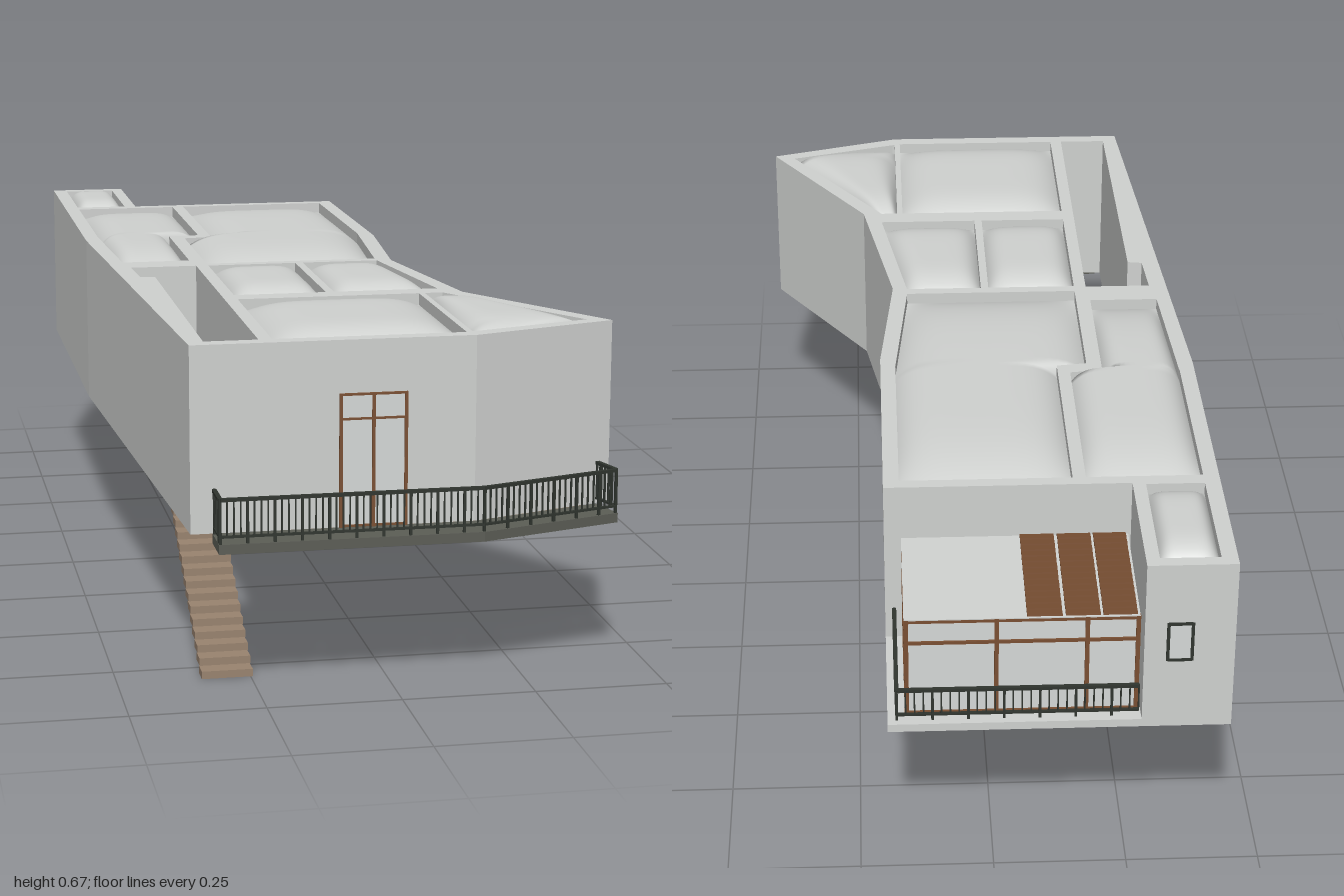
import * as THREE from 'three';

const mat = (name, color, side = THREE.FrontSide) => {
  const m = new THREE.MeshStandardMaterial({ color, side });
  m.name = name;
  return m;
};

export function createModel() {
  const wall = mat('pale concrete', 0xd0d2d0);
  const glass = mat('light glass', 0xd6d9d8);
  const wood = mat('brown frame wood', 0x7a5033);
  const timber = mat('weathered timber', 0x9a8470);
  const redFloor = mat('dark red timber', 0x6e4d47);
  const teal = mat('teal tile', 0x749a9e);
  const deck = mat('dark deck', 0x5c5e56);
  const iron = mat('black iron', 0x30352f);

  const root = new THREE.Group();
  const group = (name) => {
    const g = new THREE.Group();
    g.name = name;
    root.add(g);
    return g;
  };
  const add = (parent, name, geo, m) => {
    const mesh = new THREE.Mesh(geo, m);
    mesh.name = name;
    parent.add(mesh);
    return mesh;
  };
  // Box given by its minimum and maximum corners
  const box = (parent, name, m, x0, x1, y0, y1, z0, z1) => {
    const b = add(parent, name, new THREE.BoxGeometry(x1 - x0, y1 - y0, z1 - z0), m);
    b.position.set((x0 + x1) / 2, (y0 + y1) / 2, (z0 + z1) / 2);
    return b;
  };
  // Vertical prism from a plan outline of [x, z] points
  const vectors = (pts) => pts.map(([x, z]) => new THREE.Vector2(x, z));
  const prism = (parent, name, m, pts, y0, y1, holes = []) => {
    const shape = new THREE.Shape(vectors(pts));
    holes.forEach((h) => shape.holes.push(new THREE.Path(vectors(h))));
    const geo = new THREE.ExtrudeGeometry(shape, { depth: y1 - y0, bevelEnabled: false });
    geo.rotateX(Math.PI / 2).translate(0, y1, 0);
    return add(parent, name, geo, m);
  };

  // Room plans as rows of [z, xLeft, xRight]
  const rooms = [
    { name: 'washroom', floor: teal, rows: [[-0.975, -0.405, -0.295], [-0.715, -0.405, -0.295]] },
    { name: 'sideRoom', floor: timber, rows: [[-0.685, -0.405, -0.185], [-0.27, -0.405, -0.185], [-0.262, -0.404, -0.25], [0.05, -0.39, -0.25]] },
    { name: 'mainRoom', floor: redFloor, rows: [[-0.685, -0.16, 0.165], [-0.24, -0.16, 0.165], [-0.232, -0.22, 0.165], [0.095, -0.22, 0.135]] },
    { name: 'middleRoomA', floor: timber, rows: [[0.118, -0.22, -0.038], [0.455, -0.22, -0.038]] },
    { name: 'middleRoomB', floor: timber, rows: [[0.118, -0.022, 0.135], [0.455, -0.022, 0.185]] },
    { name: 'frontRoom', floor: timber, rows: [[0.5, -0.22, 0.138], [0.89, -0.22, 0.138]] },
    { name: 'cornerRoom', floor: timber, rows: [[0.5, 0.15, 0.185], [0.815, 0.15, 0.385], [0.885, 0.15, 0.155]] },
  ];
  const courtyard = [[0.115, -0.38, -0.245], [0.225, -0.375, -0.245], [0.23, -0.345, -0.245], [0.89, -0.345, -0.245]];
  const outlineOf = (rows) => [
    ...rows.map(([z, l]) => [l, z]),
    ...rows.map(([z, , r]) => [r, z]).reverse(),
  ];

  // Pillow-shaped roof skin filling a room plan
  const pillow = (rows, yEdge, rise) => {
    const fine = [];
    rows.slice(1).forEach((b, i) => {
      const a = rows[i];
      const n = Math.max(1, Math.ceil((b[0] - a[0]) / 0.015));
      for (let k = i ? 1 : 0; k <= n; k++) fine.push(a.map((v, j) => v + (b[j] - v) * (k / n)));
    });
    const cols = 24, pos = [], idx = [];
    const z0 = rows[0][0], z1 = rows[rows.length - 1][0];
    fine.forEach(([z, l, r], i) => {
      const v = ((z - z0) / (z1 - z0)) * 2 - 1;
      for (let c = 0; c <= cols; c++) {
        const u = Math.sin((c / cols - 0.5) * Math.PI);
        const h = (1 - Math.abs(u) ** 5) * (1 - Math.abs(v) ** 5);
        pos.push(l + (r - l) * (u + 1) / 2, yEdge + rise * h, z);
        if (i && c) {
          const d = i * (cols + 1) + c, e = d - cols - 1;
          idx.push(e - 1, d - 1, e, e, d - 1, d);
        }
      }
    });
    const geo = new THREE.BufferGeometry();
    geo.setAttribute('position', new THREE.Float32BufferAttribute(pos, 3));
    geo.setIndex(idx);
    geo.computeVertexNormals();
    return geo;
  };

  // Walls with room and courtyard openings
  const body = group('building');
  prism(body, 'walls', wall, [
    [-0.435, -1], [-0.27, -1], [-0.27, -0.71], [0.195, -0.71], [0.195, -0.2], [0.165, 0.12],
    [0.225, 0.5], [0.43, 0.83], [0.15, 0.92], [-0.375, 0.92], [-0.435, -0.24],
  ], 0.308, 0.655, [...rooms.map((r) => outlineOf(r.rows)), outlineOf(courtyard)]);
  rooms.forEach(({ name, floor, rows }) => {
    add(body, name + 'Roof', pillow(rows, 0.632, 0.033), wall);
    prism(body, name + 'Floor', floor, outlineOf(rows), 0.297, 0.315);
  });

  // Front door, set on the front wall
  const door = group('frontDoor');
  box(door, 'doorGlass', glass, -0.1, 0.02, 0.31, 0.555, 0.918, 0.922);
  for (const x of [-0.1, -0.04, 0.02]) box(door, 'doorPost', wood, x - 0.003, x + 0.003, 0.308, 0.557, 0.916, 0.925);
  for (const y of [0.311, 0.51, 0.555]) box(door, 'doorRail', wood, -0.1, 0.02, y - 0.002, y + 0.002, 0.916, 0.925);

  // Small window at the back
  const win = group('backWindow');
  box(win, 'windowPane', glass, -0.355, -0.315, 0.455, 0.53, -1.001, -0.998);
  for (const x of [-0.357, -0.313]) box(win, 'windowSide', iron, x - 0.003, x + 0.003, 0.452, 0.533, -1.002, -0.996);
  for (const y of [0.454, 0.531]) box(win, 'windowEdge', iron, -0.357, -0.313, y - 0.003, y + 0.003, -1.002, -0.996);

  // Railing along a plan path
  const railing = (name, path, y0, y1, gap) => {
    const g = group(name);
    path.slice(1).forEach(([x1, z1], i) => {
      const [x0, z0] = path[i];
      const len = Math.hypot(x1 - x0, z1 - z0);
      const run = new THREE.Group();
      run.name = 'railingRun';
      run.position.set(x0, 0, z0);
      run.rotation.y = -Math.atan2(z1 - z0, x1 - x0);
      g.add(run);
      box(run, 'topRail', iron, 0, len, y1 - 0.006, y1, -0.004, 0.004);
      box(run, 'bottomRail', iron, 0, len, y0, y0 + 0.004, -0.003, 0.003);
      const n = Math.round(len / gap);
      for (let k = 0; k <= n; k++) {
        const x = (k / n) * len, w = k % 4 ? 0.0014 : 0.0024;
        box(run, 'baluster', iron, x - w, x + w, k % 4 ? y0 : y0 - 0.013, y1, -w, w);
      }
    });
  };

  // Front balcony
  prism(root, 'balconyDeck', deck, [
    [-0.335, 0.9205], [0.15, 0.9205], [0.403, 0.842], [0.424, 0.915], [0.15, 0.998], [-0.335, 0.998],
  ], 0.29, 0.308);
  railing('balconyRailing', [[-0.332, 0.925], [-0.332, 0.993], [0.15, 0.993], [0.42, 0.912], [0.402, 0.85]], 0.319, 0.392, 0.0125);

  // Back terrace with glazed porch
  box(root, 'terraceSlab', wall, -0.27, 0.195, 0.308, 0.324, -1, -0.71);
  box(root, 'terraceUnderside', timber, -0.265, 0.165, 0.297, 0.309, -0.975, -0.715);
  railing('terraceRailing', [[0.178, -0.715], [0.178, -0.985], [-0.265, -0.985]], 0.334, 0.392, 0.0165);

  const porch = group('porch');
  box(porch, 'backGlass', glass, -0.265, 0.16, 0.324, 0.527, -0.966, -0.963);
  box(porch, 'sideGlass', glass, 0.157, 0.16, 0.324, 0.527, -0.966, -0.71);
  for (const x of [-0.262, -0.17, -0.005, 0.159]) box(porch, 'backPost', wood, x - 0.004, x + 0.004, 0.324, 0.53, -0.97, -0.96);
  for (const z of [-0.716, -0.88]) box(porch, 'sidePost', wood, 0.154, 0.163, 0.324, 0.53, z - 0.004, z + 0.004);
  for (const y of [0.328, 0.48, 0.526]) {
    box(porch, 'backBeam', wood, -0.265, 0.163, y - 0.003, y + 0.003, -0.97, -0.96);
    box(porch, 'sideBeam', wood, 0.154, 0.163, y - 0.003, y + 0.003, -0.97, -0.711);
  }
  const roof = new THREE.Group();
  roof.name = 'porchRoof';
  roof.position.set(0, 0.536, -0.84);
  roof.rotation.x = -0.055;
  porch.add(roof);
  box(roof, 'roofSheet', wall, -0.265, 0.163, -0.004, 0.002, -0.13, 0.13);
  // Tilted louvres in three bays
  for (const [x0, x1] of [[-0.26, -0.198], [-0.193, -0.13], [-0.124, -0.06]]) {
    for (let i = 0; i < 14; i++) {
      const z = -0.12 + i * 0.0185;
      box(roof, 'louvre', wood, x0, x1, 0.003, 0.007, z - 0.0095, z + 0.0095).rotation.x = 0.2;
    }
  }

  // Landing and stairs down from the courtyard
  const stairs = group('stairs');
  box(stairs, 'landing', timber, -0.378, -0.245, 0.297, 0.31, 0.115, 0.275);
  const steps = 18;
  for (let i = 0; i < steps; i++) {
    const y = 0.0165 * i, z = 0.82 - i * 0.0287;
    box(stairs, 'step', timber, -0.342, -0.246, y, y + 0.0145, z - 0.038, z);
  }
  return root;
}
